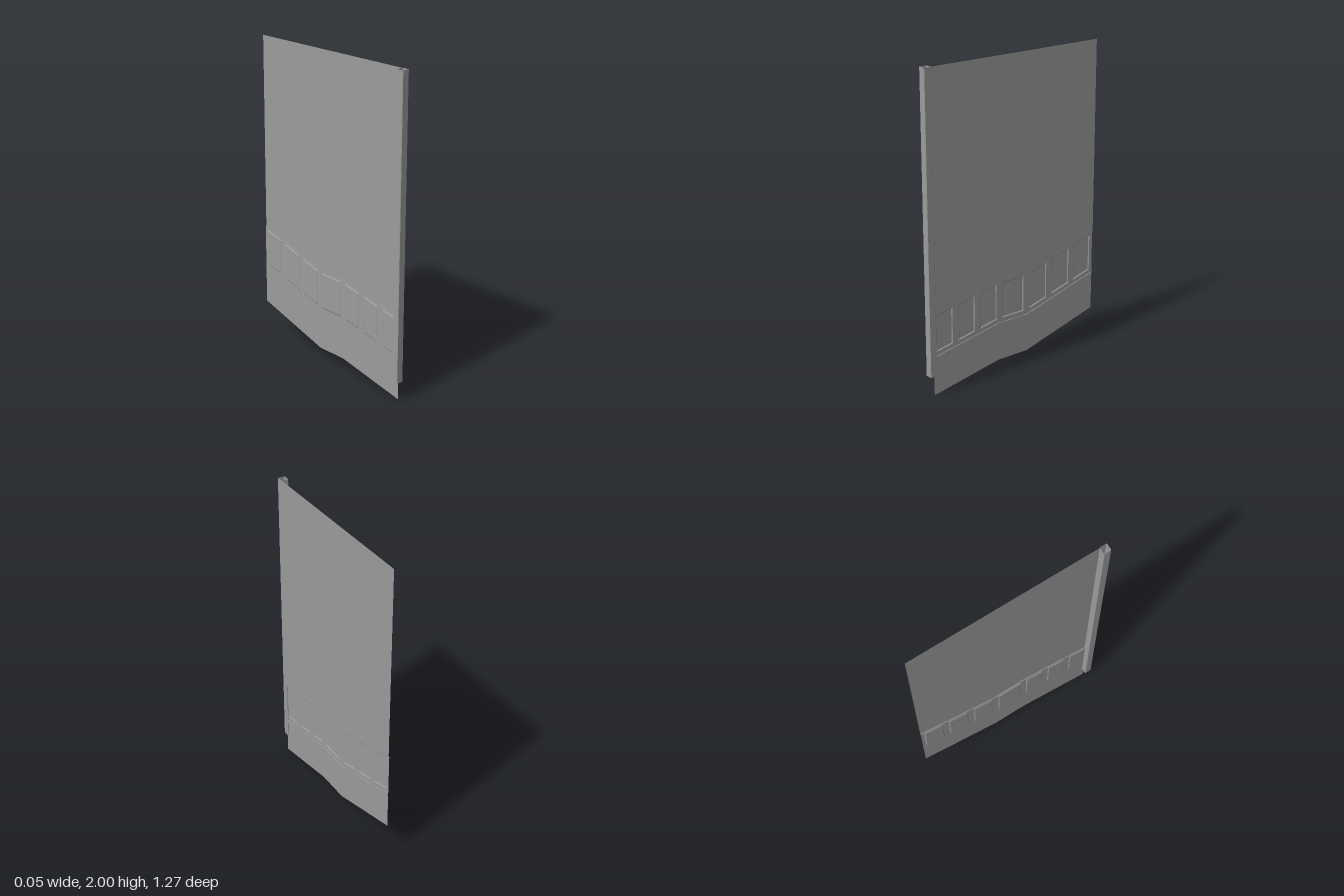
import * as THREE from 'three';

const material = new THREE.MeshStandardMaterial({ color: 0x9d9d9d, side: THREE.DoubleSide, flatShading: true });

// Depths of the upper wall, the lower wall and the sunken panels
const UPPER_X = 0.0205, LOWER_X = 0.016, PANEL_X = 0.0115;
const FRONT = 0.605, BACK = -0.635, TOP = 2, STEP = 0.52;

// Sloping lower edge of the wall, as [z, y]; the step, rail and panels follow it.
const slope = [[FRONT, 0], [0.12, 0.09], [-0.1, 0.09], [BACK, 0.24]];
const raise = d => slope.map(([z, y]) => [z, y + d]);

function slopeY(z) {
  const i = slope.findIndex(([end], k) => k > 0 && z >= end);
  const [z0, y0] = slope[i - 1], [z1, y1] = slope[i];
  return y0 + (y1 - y0) * (z0 - z) / (z0 - z1);
}

function part(name, geometry) {
  const mesh = new THREE.Mesh(geometry, material);
  mesh.name = name;
  return mesh;
}

// Outlines are drawn as (-z, y), then turned to face +x.
const toPoints = list => list.map(([z, y]) => new THREE.Vector2(-z, y));
const outline = list => new THREE.Shape(toPoints(list));
const faceSide = (geometry, x) => geometry.rotateY(Math.PI / 2).translate(x, 0, 0);
const sheet = (name, shape, x) => part(name, faceSide(new THREE.ShapeGeometry(shape), x));

// Places [z, y] points at a depth x.
const at = (x, list) => list.map(([z, y]) => [x, y, z]);

// Strip of quads between two rows of points.
function ribbon(name, a, b, closed) {
  const pos = [];
  for (let i = 0; i < a.length - (closed ? 0 : 1); i++) {
    const j = (i + 1) % a.length;
    pos.push(...a[i], ...a[j], ...b[j], ...a[i], ...b[j], ...b[i]);
  }
  const g = new THREE.BufferGeometry();
  g.setAttribute('position', new THREE.Float32BufferAttribute(pos, 3));
  g.computeVertexNormals();
  return part(name, g);
}

// Corners of a panel opening, shrunk by an inset.
function panelCorners([z0, z1], inset) {
  const a = z0 - inset, b = z1 + inset;
  const low = 0.275 + inset, high = 0.508 - inset;
  return [[a, slopeY(a) + low], [b, slopeY(b) + low], [b, slopeY(b) + high], [a, slopeY(a) + high]];
}

// Open-ended square post with small chamfered corners
function makePost() {
  const h = 0.0235, c = 0.003, cz = 0.6115, bottom = 0.125;
  const ring = [[h, h - c], [h - c, h], [c - h, h], [-h, h - c], [-h, c - h], [c - h, -h], [h - c, -h], [h, c - h]];
  const level = y => ring.map(([x, z]) => [x, y, z + cz]);
  return ribbon('post', level(TOP), level(bottom), true);
}

export function createModel() {
  const model = new THREE.Group();
  model.name = 'stairWall';
  const panels = [[0.583, 0.465], [0.42, 0.3], [0.257, 0.135], [0.093, -0.075],
    [-0.122, -0.257], [-0.3, -0.438], [-0.48, -0.612]];

  // Upper wall and the small step back to the lower wall
  const step = raise(STEP);
  model.add(sheet('upperWall', outline([...step, [BACK, TOP], [FRONT, TOP]]), UPPER_X));
  model.add(ribbon('wallStep', at(LOWER_X, step), at(UPPER_X, step), false));

  // Lower wall with panel openings
  const lower = outline([...slope, ...raise(STEP).reverse()]);
  panels.forEach(p => lower.holes.push(new THREE.Path(toPoints(panelCorners(p, 0)))));
  model.add(sheet('lowerWall', lower, LOWER_X));

  // Sunken panels with sloped borders
  for (const p of panels) {
    const outer = panelCorners(p, 0), inner = panelCorners(p, 0.006);
    const panel = new THREE.Group();
    panel.name = 'panel';
    panel.add(ribbon('panelBorder', at(LOWER_X, outer), at(PANEL_X, inner), true));
    panel.add(sheet('panelFace', outline(inner), PANEL_X));
    model.add(panel);
  }

  // Thin rail under the panels
  const rail = outline([...raise(0.23), ...raise(0.248).reverse()]);
  const railDepth = UPPER_X - LOWER_X;
  model.add(part('lowerRail', faceSide(new THREE.ExtrudeGeometry(rail, { depth: railDepth, bevelEnabled: false }), LOWER_X)));

  model.add(makePost());
  return model;
}
